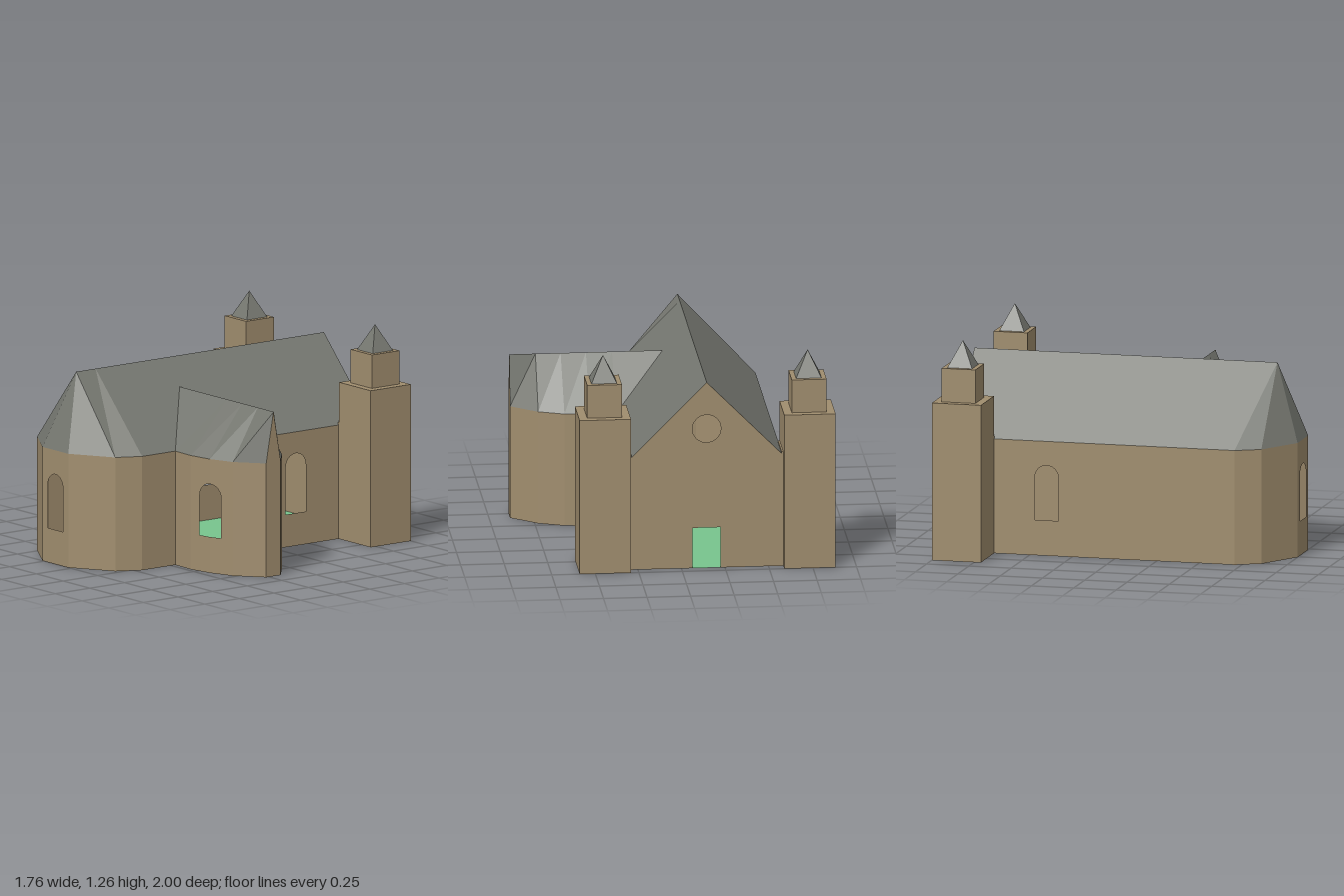
import * as THREE from 'three';

const material = (name, color, side = THREE.DoubleSide) => {
  const m = new THREE.MeshStandardMaterial({ color, side });
  m.name = name;
  return m;
};

const EAVE = 0.665, RIDGE = 1.105, SIDE_RIDGE = 0.96, MID = -0.145, SIDE_MID = 0.215;

// Footprint [x, z], running with the outside on the right hand
const footprint = [
  [-0.58, -0.94], [-0.58, 0.71], [-0.51, 0.85], [-0.265, 1], [-0.025, 1], [0.22, 0.85], [0.29, 0.71],
  [0.29, 0.47], [0.44, 0.475], [0.585, 0.45], [0.73, 0.395], [0.88, 0.27],
  [0.88, 0.165], [0.73, 0.04], [0.585, -0.02], [0.44, -0.04], [0.29, -0.035], [0.29, -0.94],
];

// Round-arched opening centred on u
function arch(u, w, y0, y1) {
  const r = w / 2, p = new THREE.Path();
  p.moveTo(u - r, y0);
  p.lineTo(u + r, y0);
  p.lineTo(u + r, y1 - r);
  p.absarc(u, y1 - r, r, 0, Math.PI, false);
  p.lineTo(u - r, y0);
  return p;
}

// Wall panel with half an arch cut from one upright edge
function halfArchPanel(len, w, y0, y1, atEnd) {
  const r = w / 2;
  const pts = [[0, 0], [len, 0], [len, y0], [len - r, y0]];
  for (let i = 0; i <= 6; i++) {
    const a = (i / 6) * Math.PI / 2;
    pts.push([len - r * Math.cos(a), y1 - r + r * Math.sin(a)]);
  }
  pts.push([len, EAVE], [0, EAVE]);
  const v = pts.map(([u, y]) => new THREE.Vector2(atEnd ? u : len - u, y));
  return new THREE.Shape(v);
}

// Stand a flat shape upright on the line from a to b
function standing(shape, a, b) {
  const g = new THREE.ShapeGeometry(shape, 8);
  const x = new THREE.Vector3(b[0] - a[0], 0, b[1] - a[1]).normalize();
  const y = new THREE.Vector3(0, 1, 0);
  const m = new THREE.Matrix4().makeBasis(x, y, x.clone().cross(y));
  return g.applyMatrix4(m.setPosition(a[0], 0, a[1]));
}

// Roof from cross-sections [left eave, ridge, right eave], plus an optional hipped end
function roofGeometry(sections, hip = []) {
  const pos = [];
  const tri = (...p) => p.forEach((v) => pos.push(...v));
  for (let i = 0; i + 1 < sections.length; i++) {
    const [l0, r0, e0] = sections[i], [l1, r1, e1] = sections[i + 1];
    tri(l0, l1, r1); tri(l0, r1, r0);
    tri(r0, r1, e1); tri(r0, e1, e0);
  }
  const apex = sections[sections.length - 1][1];
  for (let i = 0; i + 1 < hip.length; i++) tri(apex, hip[i], hip[i + 1]);
  const g = new THREE.BufferGeometry();
  g.setAttribute('position', new THREE.Float32BufferAttribute(pos, 3));
  g.computeVertexNormals();
  return g;
}

export function createModel() {
  const model = new THREE.Group();
  model.name = 'church';
  const stone = material('stone', 0xa08d6e);
  const slate = material('slate', 0x767871);
  const green = material('floorGreen', 0x78c48d);

  const add = (name, geometry, mat, parent = model) => {
    const mesh = new THREE.Mesh(geometry, mat);
    mesh.name = name;
    parent.add(mesh);
    return mesh;
  };

  // Walls, one thin panel per footprint edge
  const walls = new THREE.Group();
  walls.name = 'walls';
  model.add(walls);
  footprint.forEach((a, i) => {
    if (i === 16) i = 16;
    const b = footprint[(i + 1) % footprint.length];
    const len = Math.hypot(b[0] - a[0], b[1] - a[1]);
    const outline = [[0, 0], [len, 0], [len, EAVE]];
    if (i === 17) outline.push([len / 2, RIDGE]);
    if (i === 11) outline.push([len / 2, SIDE_RIDGE]);
    outline.push([0, EAVE]);
    let shape = new THREE.Shape(outline.map((p) => new THREE.Vector2(...p)));
    let name = 'wallPanel';
    if (i === 0) { // right side window
      name = 'rightWall';
      shape.holes.push(arch(0.54, 0.14, 0.205, 0.525));
    } else if (i === 3) { // apse window
      name = 'apseWall';
      shape.holes.push(arch(len / 2, 0.14, 0.2, 0.525));
    } else if (i === 8 || i === 9) { // chapel window folds round the corner
      name = 'chapelWindowWall';
      shape = halfArchPanel(len, 0.155, 0.21, 0.52, i === 8);
    } else if (i === 11) {
      name = 'chapelGable';
    } else if (i === 16) { // left side window
      name = 'leftWall';
      shape.holes.push(arch(0.365, 0.145, 0.19, 0.54));
    } else if (i === 17) { // gable with doorway and round window
      name = 'backGable';
      const c = len / 2, d = 0.08;
      shape = new THREE.Shape([[0, 0], [c - d, 0], [c - d, 0.24], [c + d, 0.24], [c + d, 0],
        [len, 0], [len, EAVE], [c, RIDGE], [0, EAVE]].map((p) => new THREE.Vector2(...p)));
      shape.holes.push(new THREE.Path().absarc(c, 0.83, 0.083, 0, Math.PI * 2, true));
    }
    add(name, standing(shape, a, b), stone, walls);
  });

  // Floor
  const floor = new THREE.ShapeGeometry(new THREE.Shape(footprint.map(([x, z]) => new THREE.Vector2(x, -z))));
  add('floor', floor.rotateX(-Math.PI / 2), green);

  // Main roof with hipped apse end
  const eave = (i) => [footprint[i][0], EAVE, footprint[i][1]];
  const ridge = (z) => [MID, RIDGE, z];
  add('mainRoof', roofGeometry([
    [eave(0), ridge(-0.94), eave(17)],
    [eave(1), ridge(0.71), eave(6)],
    [eave(2), ridge(0.85), eave(5)],
  ], [2, 3, 4, 5].map(eave)), slate);

  // Chapel roof, its valleys meeting the main slope
  const tip = [0, SIDE_RIDGE, SIDE_MID];
  const sections = [[tip, tip, tip]];
  for (let i = 7; i <= 11; i++) {
    sections.push([eave(i), [footprint[i][0], SIDE_RIDGE, SIDE_MID], eave(23 - i)]);
  }
  add('chapelRoof', roofGeometry(sections), slate);

  // Pair of stepped towers beside the gable
  for (const side of [-1, 1]) {
    const tower = new THREE.Group();
    tower.name = side < 0 ? 'rightTower' : 'leftTower';
    tower.position.set(MID + side * 0.5875, 0, -0.855);
    model.add(tower);
    const base = new THREE.BoxGeometry(0.295, 0.915, 0.29);
    add('towerBase', base, [stone, stone, stone, green, stone, stone], tower).position.y = 0.4575;
    add('towerTop', new THREE.BoxGeometry(0.2, 0.195, 0.2), stone, tower).position.y = 1.0125;
    const spire = new THREE.ConeGeometry(0.146 / Math.SQRT2, 0.15, 4, 1).rotateY(Math.PI / 4).toNonIndexed();
    spire.computeVertexNormals();
    add('spire', spire, slate, tower).position.y = 1.185;
    // Narrow join to the nave
    add('towerJoin', new THREE.BoxGeometry(0.012, 0.68, 0.23), stone, tower).position.set(-side * 0.151, 0.34, 0.03);
  }
  return model;
}
